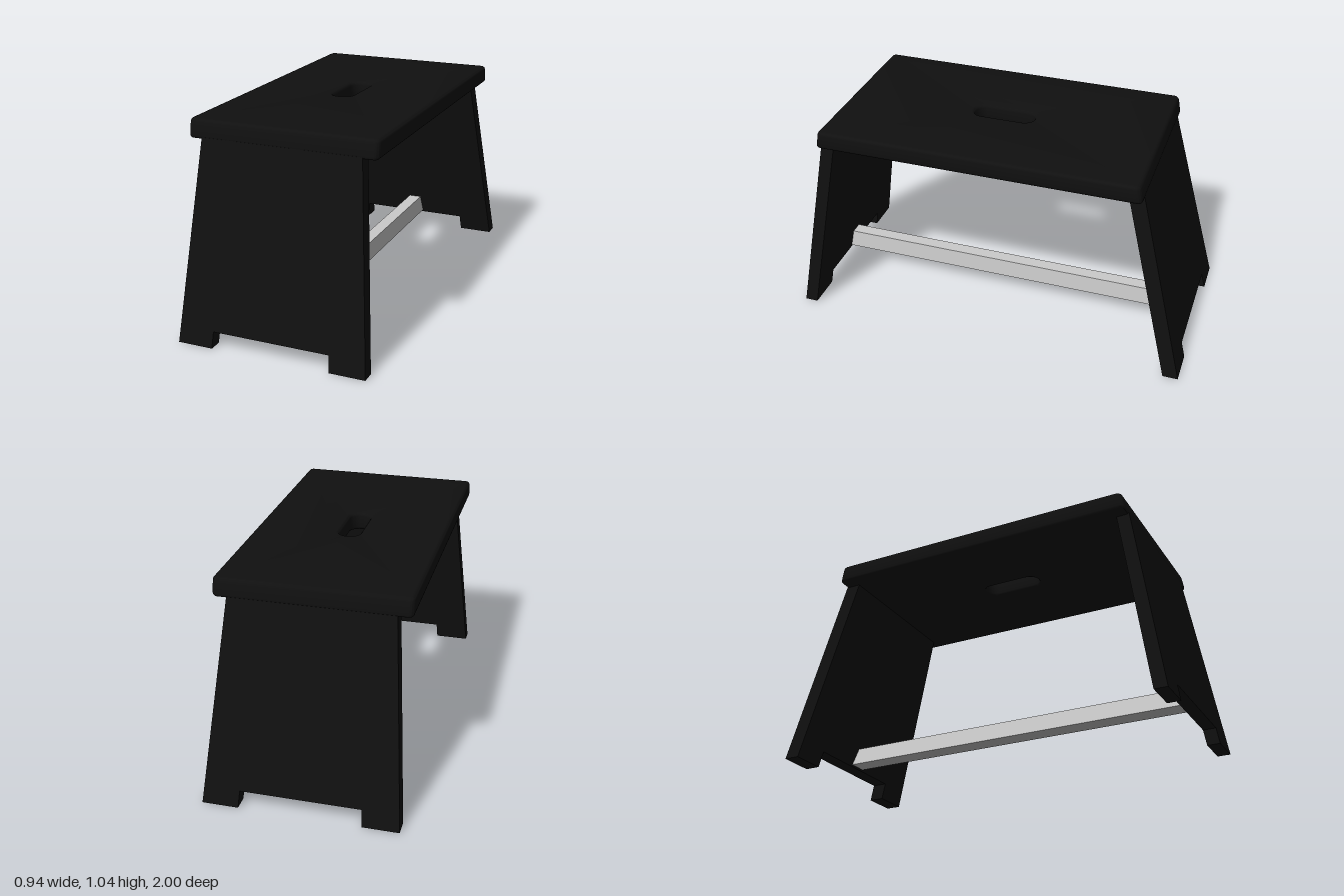
import * as THREE from 'three';
import { toCreasedNormals } from 'three/addons/utils/BufferGeometryUtils.js';

const BASE = 0.95, TOP = 1.04; // underside and top of the seat

// Rounded rectangle as a path; x0..x1, y0..y1, corner radius r
function roundedRect(path, x0, y0, x1, y1, r) {
  path.moveTo(x1, y0 + r);
  path.absarc(x1 - r, y1 - r, r, 0, Math.PI / 2);
  path.absarc(x0 + r, y1 - r, r, Math.PI / 2, Math.PI);
  path.absarc(x0 + r, y0 + r, r, Math.PI, Math.PI * 1.5);
  path.absarc(x1 - r, y0 + r, r, Math.PI * 1.5, Math.PI * 2);
  path.closePath();
  return path;
}

// Move every vertex along z by a rule of its position
function shiftZ(geometry, rule) {
  const p = geometry.attributes.position;
  for (let i = 0; i < p.count; i++) p.setZ(i, p.getZ(i) + rule(p.getY(i), p.getZ(i)));
  geometry.computeVertexNormals();
  return geometry;
}

// Rounded board with a grip slot; its ends follow the slope of the legs
function seatGeometry() {
  const b = 0.016;
  const shape = roundedRect(new THREE.Shape(), -0.46, -0.83, 0.46, 0.742, 0.025);
  shape.holes.push(roundedRect(new THREE.Path(), -0.055, -0.19, 0.05, 0.115, 0.05));
  const g = new THREE.ExtrudeGeometry(shape, {
    depth: TOP - BASE - 2 * b, bevelSize: b, bevelThickness: b, bevelOffset: -b,
    bevelSegments: 3, curveSegments: 8,
  });
  g.rotateX(-Math.PI / 2).translate(0, BASE + b, 0);
  shiftZ(g, (y, z) => (Math.abs(z) > 0.5 ? Math.sign(z) * 0.18 * (TOP - y) : 0));
  return toCreasedNormals(g, 0.6);
}

// Tapered panel with a cut-out between the feet, leaning by slope
function legGeometry(zInner, zOuter, slope) {
  const half = [[0.47, 0], [0.39, BASE + 0.01]];
  const cut = [[0.295, 0], [0.29, 0.08]];
  const outline = [
    half[0], half[1], [-half[1][0], half[1][1]], [-half[0][0], 0],
    [-cut[0][0], 0], [-cut[1][0], cut[1][1]], cut[1], cut[0],
  ].map(([x, y]) => new THREE.Vector2(x, y));
  const z0 = Math.min(zInner, zOuter);
  const g = new THREE.ExtrudeGeometry(new THREE.Shape(outline), {
    depth: Math.abs(zOuter - zInner), bevelEnabled: false,
  });
  return shiftZ(g, (y) => z0 + slope * y);
}

// Bar with sloping sides, its ends cut to the lean of the legs
function stretcherGeometry() {
  const shape = new THREE.Shape([[-0.037, 0.09], [0.06, 0.09], [0.05, 0.18], [-0.017, 0.18]]
    .map(([x, y]) => new THREE.Vector2(x, y)));
  const g = new THREE.ExtrudeGeometry(shape, { depth: 1, bevelEnabled: false });
  return shiftZ(g, (y, z) => (z > 0.5 ? 0.937 - 0.163 * y - z : -0.927 + 0.258 * y));
}

export function createModel() {
  const model = new THREE.Group();
  model.name = 'stepStool';
  const black = new THREE.MeshStandardMaterial({ color: 0x101010 });
  const grey = new THREE.MeshStandardMaterial({ color: 0xcccccc });
  const add = (name, geometry, material) => {
    const mesh = new THREE.Mesh(geometry, material);
    mesh.name = name;
    model.add(mesh);
  };

  add('seat', seatGeometry(), black);
  add('frontLeg', legGeometry(0.935, 1, -0.163), black);
  add('backLeg', legGeometry(-0.925, -1, 0.258), black);
  add('stretcher', stretcherGeometry(), grey);
  return model;
}
